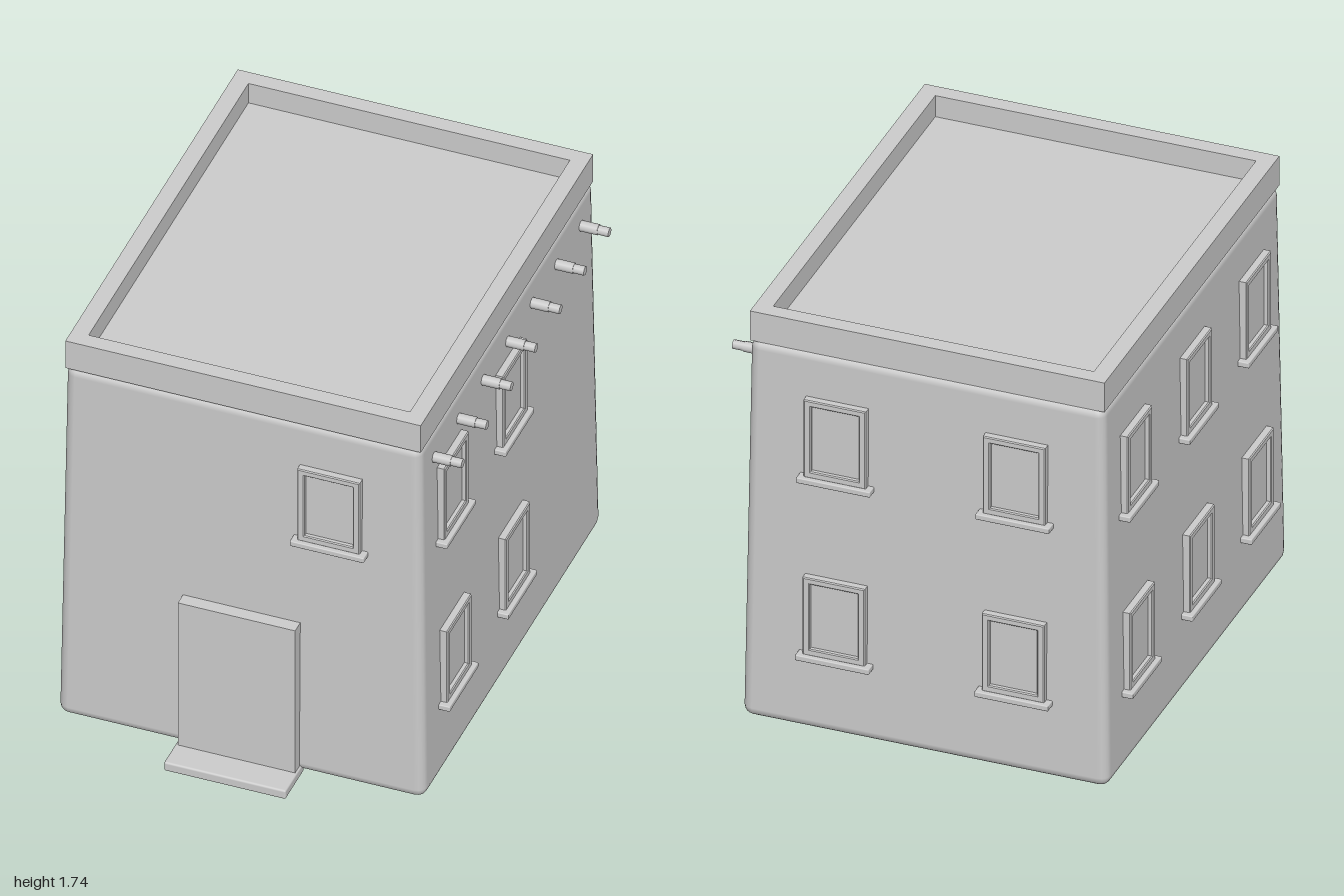
import * as THREE from 'three';
import { RoundedBoxGeometry } from 'three/addons/geometries/RoundedBoxGeometry.js';

const material = new THREE.MeshStandardMaterial({ color: 0xcccccc });
const CX = -0.027, CZ = -0.058; // centre of the house
const BASE = 0.015, TOP = 1.62; // wall bottom and top
const taper = (y) => 0.0225 * (y - BASE) / (TOP - BASE); // inward lean of each wall at height y

function add(parent, name, geometry, x = 0, y = 0, z = 0) {
  const mesh = new THREE.Mesh(geometry, material);
  mesh.name = name;
  mesh.position.set(x, y, z);
  parent.add(mesh);
  return mesh;
}

const box = (w, h, d) => new THREE.BoxGeometry(w, h, d);
const softBox = (w, h, d, r) => new RoundedBoxGeometry(w, h, d, 2, r);

// Rectangle outline with corners (x0, y0) and (x1, y1)
function rect(ShapeType, x0, y0, x1, y1) {
  return new ShapeType([[x0, y0], [x1, y0], [x1, y1], [x0, y1]].map(([x, y]) => new THREE.Vector2(x, y)));
}

// Rectangular frame, extruded along +z, with an optional small bevel
function frame(outer, inner, depth, bevel = 0) {
  const [x0, y0, x1, y1] = outer;
  const [u0, v0, u1, v1] = inner;
  const b = bevel;
  const shape = rect(THREE.Shape, x0 + b, y0 + b, x1 - b, y1 - b);
  shape.holes.push(rect(THREE.Path, u0 - b, v0 - b, u1 + b, v1 + b));
  return new THREE.ExtrudeGeometry(shape, {
    depth: depth - b, bevelEnabled: b > 0, bevelSize: b, bevelThickness: b, bevelSegments: 1,
  });
}

// Window facing +z; origin on the wall at the bottom of the sill
function makeWindow() {
  const g = new THREE.Group();
  g.name = 'window';
  add(g, 'windowFrame', frame([-0.123, 0.02, 0.123, 0.351], [-0.095, 0.048, 0.095, 0.325], 0.048, 0.004), 0, 0, -0.02);
  add(g, 'windowPane', box(0.2, 0.29, 0.03), 0, 0.187, -0.005);
  add(g, 'windowSill', softBox(0.292, 0.023, 0.076, 0.004), 0, 0.0115, 0.008);
  return g;
}

// Walls: a rounded block that narrows towards the top
function makeWalls() {
  const h = TOP - BASE;
  const geo = softBox(1.445, h, 1.8, 0.04);
  const p = geo.attributes.position;
  for (let i = 0; i < p.count; i++) {
    const lean = taper(p.getY(i) + h / 2 + BASE);
    p.setX(i, p.getX(i) * (1 - lean / 0.7225));
    p.setZ(i, p.getZ(i) * (1 - lean / 0.9));
  }
  return geo;
}

function makeDoor() {
  const g = new THREE.Group();
  g.name = 'door';
  add(g, 'doorFrame', frame([-0.257, 0.02, 0.205, 0.7], [-0.19, 0.0, 0.138, 0.628], 0.075, 0), 0, 0, 0.81);
  add(g, 'doorPanel', box(0.335, 0.61, 0.04), -0.026, 0.325, 0.833);
  for (const y of [0.137, 0.502]) add(g, 'doorBatten', box(0.295, 0.021, 0.016), -0.027, y, 0.858);
  // Knob turned around an axis pointing out of the door
  const profile = [[0, 0.024], [0.012, 0.022], [0.02, 0.014], [0.016, 0.007], [0.009, 0.004], [0.009, 0]];
  const knob = new THREE.LatheGeometry(profile.reverse().map(([r, y]) => new THREE.Vector2(r, y)), 12);
  add(g, 'doorKnob', knob.rotateX(Math.PI / 2), 0.073, 0.312, 0.852);
  add(g, 'doorStep', softBox(0.48, 0.04, 0.19, 0.008), -0.028, 0.02, 0.905);
  return g;
}

export function createModel() {
  const house = new THREE.Group();
  house.name = 'house';

  add(house, 'walls', makeWalls(), CX, (TOP + BASE) / 2, CZ);

  // Flat roof inside a parapet
  const parapet = frame([-0.7, -0.872, 0.7, 0.872], [-0.633, -0.808, 0.633, 0.808], 0.125);
  add(house, 'parapet', parapet.rotateX(-Math.PI / 2), CX, 1.61, CZ + 0.002);
  add(house, 'roof', box(1.28, 0.04, 1.63), CX, 1.625, CZ);

  house.add(makeDoor());

  // Windows per wall: turn, half width of the house, positions along the wall, sill heights
  const LOW = 0.323, HIGH = 1.076;
  const sides = [
    { name: 'frontWindows', turn: 0, half: 0.9, along: [0.323], floors: [HIGH] },
    { name: 'backWindows', turn: Math.PI, half: 0.9, along: [-0.385, 0.323], floors: [LOW, HIGH] },
    { name: 'leftWindows', turn: Math.PI / 2, half: 0.7225, along: [0.535, -0.058], floors: [LOW, HIGH] },
    { name: 'rightWindows', turn: -Math.PI / 2, half: 0.7225, along: [-0.655, -0.06, 0.53], floors: [LOW, HIGH] },
  ];
  for (const { name, turn, half, along, floors } of sides) {
    const group = new THREE.Group();
    group.name = name;
    for (const a of along) for (const y of floors) {
      const w = makeWindow();
      const out = half - taper(y + 0.18);
      const nx = Math.round(Math.sin(turn)), nz = Math.round(Math.cos(turn));
      w.position.set(nx ? CX + nx * out : a, y, nz ? CZ + nz * out : a);
      w.rotation.y = turn;
      group.add(w);
    }
    house.add(group);
  }

  // Row of round beam ends under the roof
  const beams = new THREE.Group();
  beams.name = 'roofBeams';
  for (let i = 0; i < 7; i++) {
    const z = 0.685 - i * 0.2475;
    const thick = new THREE.CylinderGeometry(0.021, 0.021, 0.11, 8).rotateZ(Math.PI / 2);
    const thin = new THREE.CylinderGeometry(0.018, 0.018, 0.06, 8).rotateZ(Math.PI / 2);
    add(beams, 'beam', thick, 0.69, 1.497, z);
    add(beams, 'beamTip', thin, 0.758, 1.497, z);
  }
  house.add(beams);

  return house;
}
